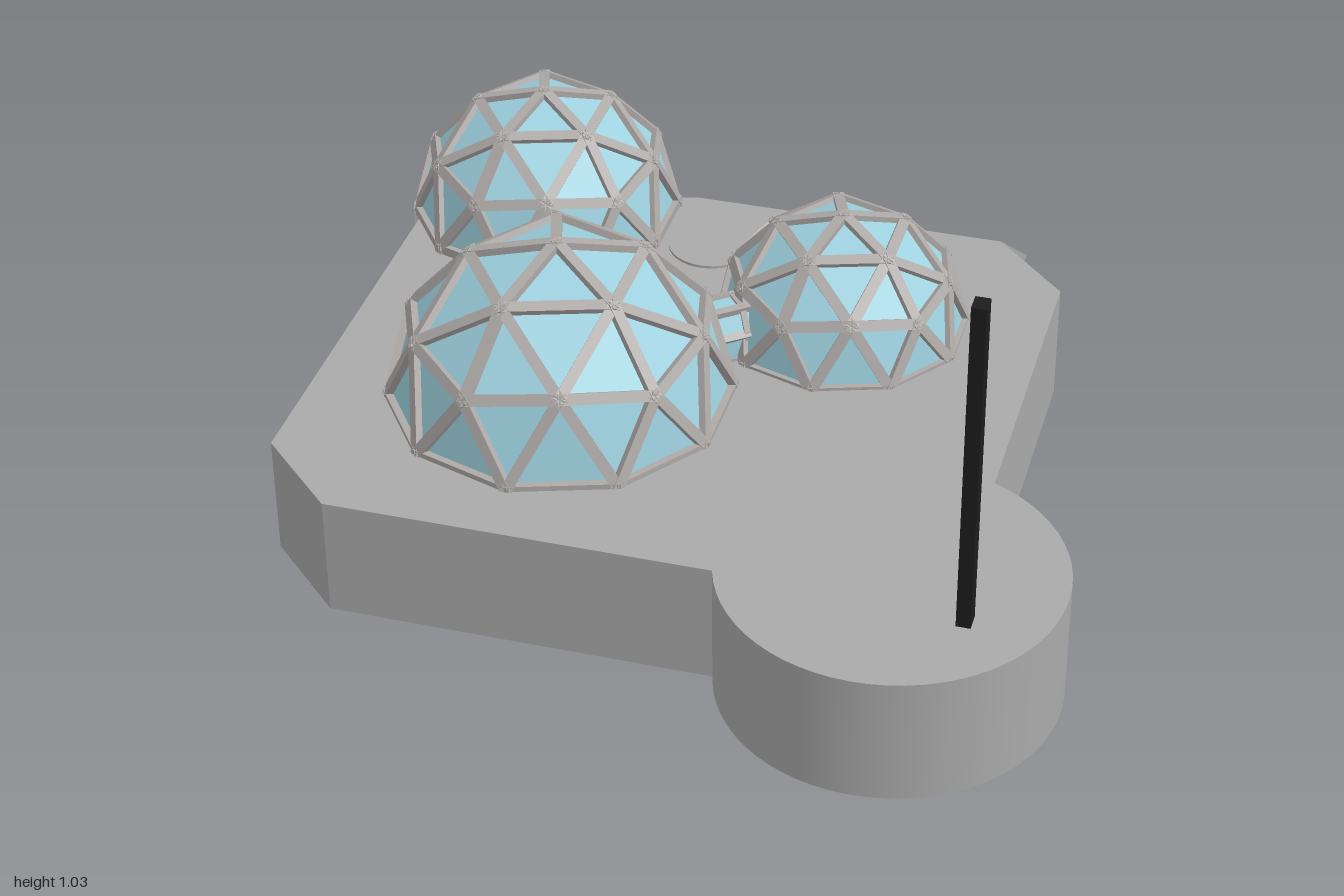
import * as THREE from 'three';
import { mergeGeometries } from 'three/addons/utils/BufferGeometryUtils.js';

const mat = (name, color, extra = {}) => new THREE.MeshStandardMaterial({ name, color, ...extra });
const DECK = 0.28;

function addMesh(parent, name, geometry, material) {
  const m = new THREE.Mesh(geometry, material);
  m.name = name;
  parent.add(m);
  return m;
}

// Box strut from a to b, its depth turned along the outward direction
function strut(a, b, outward, width, depth) {
  const along = b.clone().sub(a);
  const length = along.length();
  along.normalize();
  const side = along.clone().cross(outward).normalize();
  const out = side.clone().cross(along).normalize();
  const mid = a.clone().add(b).multiplyScalar(0.5).addScaledVector(out, -depth / 2);
  const matrix = new THREE.Matrix4().makeBasis(side, along, out).setPosition(mid);
  return new THREE.BoxGeometry(width, length + width * 0.3, depth).applyMatrix4(matrix);
}

// Flat-sided surface from corner points and index triples
function facets(points, faces) {
  const g = new THREE.BufferGeometry().setFromPoints(faces.flat().map(i => points[i]));
  g.computeVertexNormals();
  return g;
}

// Geodesic half sphere: apex, two rings of corners, and a ten-sided rim
function dome(name, x, y, z, radius, frameMat, glassMat, skirt = 0) {
  const group = new THREE.Group();
  group.name = name;
  group.position.set(x, y, z);
  const points = [];
  const add = (polar, azimuth) => {
    const p = THREE.MathUtils.degToRad(polar), t = THREE.MathUtils.degToRad(azimuth);
    points.push(new THREE.Vector3(-Math.sin(p) * Math.cos(t), Math.cos(p), Math.sin(p) * Math.sin(t)).multiplyScalar(radius));
  };
  add(0, 0);
  for (let k = 0; k < 5; k++) add(31.72, 72 * k);
  for (let k = 0; k < 5; k++) add(63.43, 72 * k);
  for (let k = 0; k < 5; k++) add(58.28, 72 * k + 36);
  for (let k = 0; k < 10; k++) add(90, 36 * k - 18);

  const faces = [];
  for (let k = 0; k < 5; k++) {
    const n = (k + 1) % 5;
    const a = 1 + k, a2 = 1 + n, b = 6 + k, b2 = 6 + n, m = 11 + k;
    const e0 = 16 + 2 * k, e1 = 17 + 2 * k, e2 = 16 + 2 * n;
    faces.push([0, a, a2], [a, b, m], [a, m, a2], [a2, m, b2],
      [b, e0, e1], [b, e1, m], [m, e1, e2], [m, e2, b2]);
  }
  // One strut per shared edge
  const edges = new Map();
  for (const f of faces) for (let i = 0; i < 3; i++) {
    const pair = [f[i], f[(i + 1) % 3]].sort((p, q) => p - q);
    edges.set(pair.join(), pair);
  }
  const width = 0.024, depth = 0.026;
  const struts = [...edges.values()].map(([i, j]) =>
    strut(points[i], points[j], points[i].clone().add(points[j]), width, depth));

  // Upright walls below the rim
  if (skirt) {
    for (let k = 0; k < 10; k++) {
      const p = points[16 + k];
      points.push(new THREE.Vector3(p.x, -skirt, p.z));
    }
    for (let k = 0; k < 10; k++) {
      const n = (k + 1) % 10;
      const [t0, t1, l0, l1] = [16 + k, 16 + n, 26 + k, 26 + n];
      faces.push([t0, l0, l1], [t0, l1, t1]);
      struts.push(strut(points[l0], points[t0], points[t0], width, depth));
      struts.push(strut(points[l0], points[l1], points[t0].clone().add(points[t1]), width, depth));
    }
  }
  const inset = points.map(p => new THREE.Vector3(p.x * 0.962, p.y < 0 ? p.y : p.y * 0.962, p.z * 0.962));
  addMesh(group, name + 'Glass', facets(inset, faces), glassMat);
  addMesh(group, name + 'Frame', mergeGeometries(struts), frameMat);
  return group;
}

// Glazed passage with sloped sides, framed along its ridges and by hoops
function passage(name, x, z, angle, length, half, height, frameMat, glassMat) {
  const group = new THREE.Group();
  group.name = name;
  group.position.set(x, DECK, z);
  group.rotation.y = angle;
  const profile = [[-half, 0], [-half, height * 0.55], [-half * 0.5, height],
    [half * 0.5, height], [half, height * 0.55], [half, 0]];
  const glass = new THREE.ExtrudeGeometry(new THREE.Shape(profile.map(p => new THREE.Vector2(p[0] * 0.93, p[1] * 0.95))),
    { depth: length, bevelEnabled: false });
  glass.translate(0, 0, -length / 2);
  addMesh(group, name + 'Glass', glass, glassMat);
  const at = (i, zz) => new THREE.Vector3(profile[i][0], profile[i][1], zz);
  const struts = [];
  for (let i = 0; i < 6; i++) {
    const out = new THREE.Vector3(profile[i][0], profile[i][1], 0);
    struts.push(strut(at(i, -length / 2), at(i, length / 2), out, 0.016, 0.016));
    if (i < 5) for (const f of [-0.25, 0.25]) {
      const o = at(i, 0).add(at(i + 1, 0));
      struts.push(strut(at(i, f * length), at(i + 1, f * length), o, 0.014, 0.014));
    }
  }
  addMesh(group, name + 'Frame', mergeGeometries(struts), frameMat);
  return group;
}

export function createModel() {
  const concrete = mat('concrete', 0xaaaaaa);
  const frame = mat('frame grey', 0xaeaaa8);
  const glass = mat('pale blue glass', 0x9dd0de, { side: THREE.DoubleSide });
  const black = mat('black', 0x1c1c1c);
  const model = new THREE.Group();
  model.name = 'domeStation';

  // Platform with cut corners
  const outline = [[-0.67, 0.73], [0.48, 0.73], [0.65, 0.56], [0.65, -0.45],
    [0.48, -0.62], [-0.25, -0.62], [-0.85, -0.42], [-0.85, 0.56]];
  const slab = new THREE.ExtrudeGeometry(
    new THREE.Shape(outline.map(([x, z]) => new THREE.Vector2(x, -z))),
    { depth: DECK - 0.005, bevelEnabled: false });
  slab.rotateX(-Math.PI / 2).translate(0, 0.005, 0);
  addMesh(model, 'platform', slab, concrete);

  // Ramp at the back
  const wedge = new THREE.ExtrudeGeometry(
    new THREE.Shape([[0.60, 0.005], [1.0, 0.005], [0.62, DECK], [0.60, DECK]].map(p => new THREE.Vector2(...p))),
    { depth: 0.62, bevelEnabled: false });
  wedge.rotateY(Math.PI / 2).translate(-0.14, 0, 0);
  addMesh(model, 'ramp', wedge, concrete);

  // Round landing pad, mast and low disc
  addMesh(model, 'roundPad', new THREE.CylinderGeometry(0.36, 0.36, 0.287, 64), concrete)
    .position.set(0.51, 0.1435, 0.635);
  addMesh(model, 'mast', new THREE.BoxGeometry(0.03, 0.75, 0.04), black)
    .position.set(0.685, 0.66, 0.76);
  addMesh(model, 'deckDisc', new THREE.CylinderGeometry(0.1, 0.1, 0.008, 40), concrete)
    .position.set(-0.16, DECK + 0.002, -0.43);

  // Domes
  model.add(dome('largeDome', -0.32, DECK, 0.21, 0.383, frame, glass));
  model.add(dome('backDome', -0.575, 0.29, -0.485, 0.313, frame, glass, 0.24));
  model.add(dome('smallDome', 0.2, 0.275, -0.21, 0.287, frame, glass));

  // Passages joining the domes
  model.add(passage('backPassage', -0.46, -0.17, Math.atan2(0.255, 0.695), 0.2, 0.065, 0.12, frame, glass));
  model.add(passage('sidePassage', -0.03, -0.03, Math.atan2(-0.52, 0.42), 0.16, 0.06, 0.12, frame, glass));
  return model;
}
